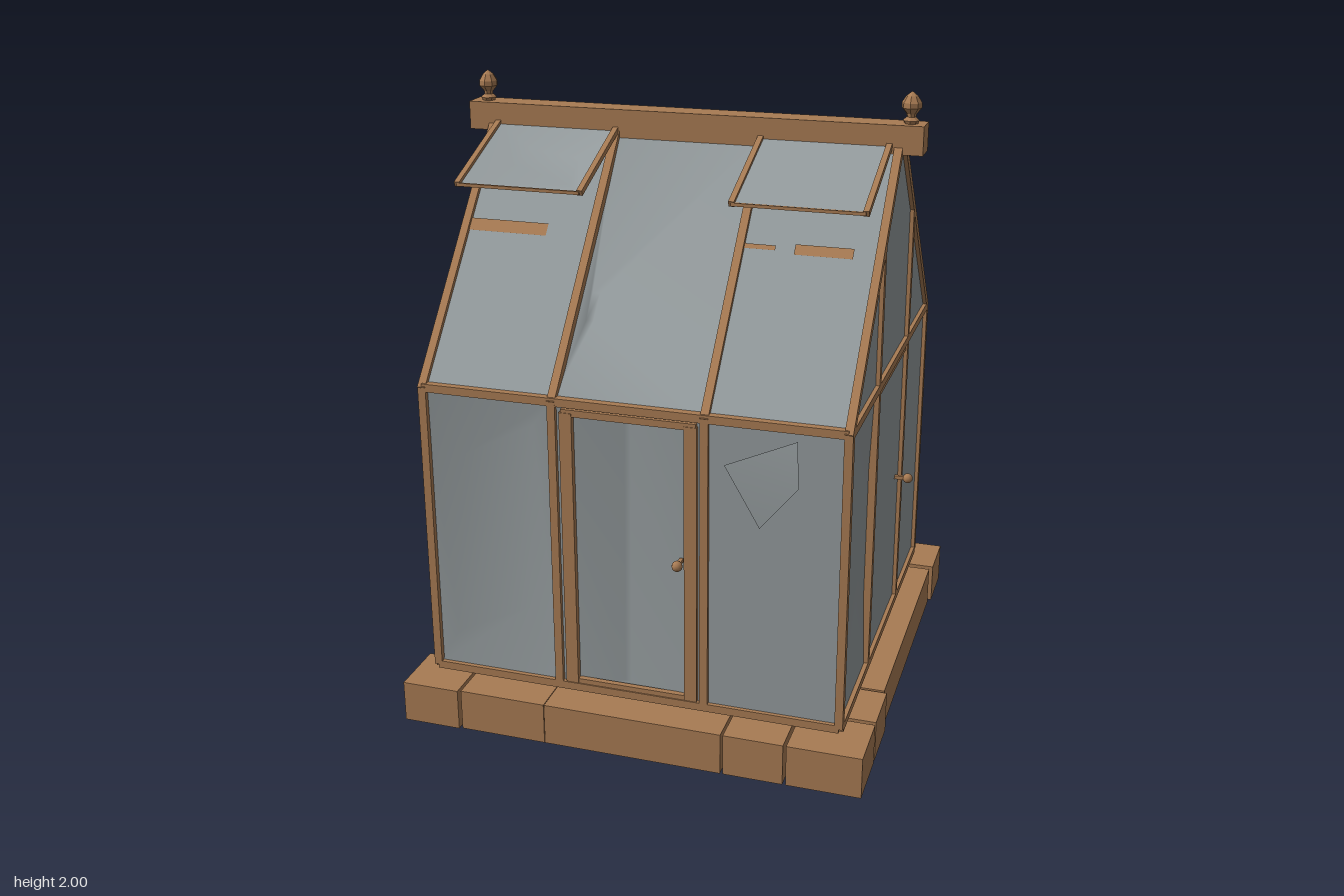
import * as THREE from 'three';

const wood = new THREE.MeshStandardMaterial({ color: 0xa87b53 });
wood.name = 'wood';
const glass = new THREE.MeshStandardMaterial({ color: 0x949b9d, side: THREE.DoubleSide });
glass.name = 'glass';

const V = (x, y, z) => new THREE.Vector3(x, y, z);
const XS = [-0.675, -0.25, 0.23, 0.66];   // front and back post lines
const ZS = [0.645, 0.25, -0.25, -0.645];  // side post lines
const SILL = 0.165, EAVE = 1.13, SLOPE = 1.14;
const roofY = z => EAVE + (0.645 - Math.abs(z)) * SLOPE;
const onRoof = (x, z, lift = 0) => V(x, roofY(z) + lift, z);

export function createModel() {
  const root = new THREE.Group();
  root.name = 'greenhouse';

  const add = (name, geo, mat, parent = root) => {
    const m = new THREE.Mesh(geo, mat);
    m.name = name;
    parent.add(m);
    return m;
  };
  const group = name => {
    const g = new THREE.Group();
    g.name = name;
    root.add(g);
    return g;
  };
  // Timber between two points
  const beam = (name, a, b, w = 0.026, d = w, parent = root) => {
    const m = add(name, new THREE.BoxGeometry(w, d, a.distanceTo(b)), wood, parent);
    m.position.copy(a).add(b).multiplyScalar(0.5);
    m.lookAt(b);
    return m;
  };
  // Glass sheet with corners anticlockwise from outside; optional dented inner quad in u, v
  const pane = (name, c, dent, depth = 0.02, parent = root) => {
    const n = c[1].clone().sub(c[0]).cross(c[2].clone().sub(c[0])).normalize();
    const pts = [...c];
    const idx = [];
    if (dent) {
      for (const [u, v] of dent) {
        const low = c[0].clone().lerp(c[1], u), high = c[3].clone().lerp(c[2], u);
        pts.push(low.lerp(high, v).addScaledVector(n, -depth));
      }
      for (let i = 0; i < 4; i++) {
        const j = (i + 1) % 4;
        idx.push(i, j, 4 + j, i, 4 + j, 4 + i);
      }
      idx.push(4, 5, 6, 4, 6, 7);
    } else {
      for (let i = 1; i < c.length - 1; i++) idx.push(0, i, i + 1);
    }
    const g = new THREE.BufferGeometry().setFromPoints(pts);
    g.setIndex(idx);
    g.computeVertexNormals();
    return add(name, g, glass, parent);
  };

  // Foundation blocks: [x0, x1, z0, z1]
  const foundation = group('foundation');
  const blocks = [
    [-0.755, -0.565, 0.56, 0.755], [-0.555, -0.27, 0.595, 0.75], [-0.268, 0.312, 0.595, 0.75],
    [0.32, 0.51, 0.595, 0.75], [0.52, 0.755, 0.555, 0.75],
    [-0.755, -0.52, -0.755, -0.57], [-0.508, -0.345, -0.75, -0.59], [-0.34, 0.54, -0.755, -0.595],
    [0.558, 0.755, -0.755, -0.57],
    [-0.75, -0.6, -0.545, -0.37], [-0.745, -0.6, -0.36, 0.54],
    [0.595, 0.745, -0.547, 0.35], [0.6, 0.755, 0.36, 0.54]
  ];
  for (const [x0, x1, z0, z1] of blocks) {
    const b = add('foundationBlock', new THREE.BoxGeometry(x1 - x0, 0.137, z1 - z0), wood, foundation);
    b.position.set((x0 + x1) / 2, 0.0685, (z0 + z1) / 2);
  }

  // Front and back walls: posts, rails, side panes and a door
  const knob = (x, y, z, out, parent) => {
    beam('knobStem', V(x, y, z), V(x, y, z).addScaledVector(out, 0.04), 0.012, 0.012, parent);
    const k = add('knob', new THREE.SphereGeometry(0.017, 10, 8), wood, parent);
    k.position.set(x, y, z).addScaledVector(out, 0.045);
  };
  for (const s of [1, -1]) {
    const wall = group(s > 0 ? 'frontWall' : 'backWall');
    const z = 0.645 * s;
    for (const x of XS) beam('post', V(x, SILL, z), V(x, EAVE, z), 0.026, 0.026, wall);
    for (const y of [SILL, EAVE]) beam('rail', V(XS[0], y, z), V(XS[3], y, z), 0.026, 0.026, wall);
    const dents = s > 0
      ? [[[0.15, 0.12], [0.75, 0.25], [0.82, 0.9], [0.27, 0.77]], [[0.44, 0.03], [0.48, 0.03], [0.5, 0.97], [0.46, 0.97]], null]
      : [null, null, [[0.2, 0.25], [0.7, 0.3], [0.8, 0.85], [0.35, 0.75]]];
    for (let i = 0; i < 3; i++) {
      const a = s > 0 ? XS[i] : XS[i + 1], b = s > 0 ? XS[i + 1] : XS[i];
      pane(i === 1 ? 'doorGlass' : 'wallGlass',
        [V(a, SILL, z), V(b, SILL, z), V(b, EAVE, z), V(a, EAVE, z)], dents[i], 0.025, wall);
    }
    for (const x of [-0.205, 0.188]) beam('doorStile', V(x, 0.18, z), V(x, 1.1, z), 0.04, 0.026, wall);
    beam('doorRail', V(-0.22, 1.1, z), V(0.205, 1.1, z), 0.022, 0.022, wall);
    beam('doorRail', V(-0.22, 0.185, z), V(0.205, 0.185, z), 0.018, 0.018, wall);
    knob(0.157 * s, 0.66, z, V(0, 0, s), wall);
  }

  // Shard of torn glass, standing out a little from the front right pane
  pane('glassShard', [V(0.29, 0.99, 0.65), V(0.4, 0.8, 0.65), V(0.52, 0.95, 0.665), V(0.51, 1.09, 0.65)]);

  // Side walls with gables
  for (const s of [1, -1]) {
    const wall = group(s > 0 ? 'leftWall' : 'rightWall');
    const x = s > 0 ? XS[3] : XS[0];
    for (const z of ZS) {
      beam('post', V(x, SILL, z), V(x, roofY(z), z), 0.026, 0.026, wall);
    }
    for (const y of [SILL, EAVE]) beam('rail', V(x, y, ZS[0]), V(x, y, ZS[3]), 0.026, 0.026, wall);
    beam('doorRail', V(x, 1.103, 0.24), V(x, 1.103, -0.24), 0.016, 0.016, wall);
    const first = [[0.2, 0.25], [0.72, 0.25], [0.94, 0.5], [0.45, 0.95]];
    const mirrored = first.map(([u, v]) => [1 - u, v]);
    const dent = s > 0 ? first : [mirrored[1], mirrored[0], mirrored[3], mirrored[2]];
    for (let i = 0; i < 3; i++) {
      const a = s > 0 ? ZS[i] : ZS[i + 1], b = s > 0 ? ZS[i + 1] : ZS[i];
      pane('wallGlass', [V(x, SILL, a), V(x, SILL, b), V(x, EAVE, b), V(x, EAVE, a)],
        i === 0 ? dent : null, 0.02, wall);
    }
    pane('gableGlass', [V(x, EAVE, 0.645 * s), V(x, EAVE, -0.645 * s), V(x, roofY(0), 0)], null, 0, wall);
    knob(x, 0.657, -0.175 * s, V(s, 0, 0), wall);
  }

  // Roof rafters and glazing
  const roof = group('roof');
  for (const s of [1, -1]) {
    for (const x of XS) beam('rafter', onRoof(x, 0.65 * s), onRoof(x, 0.02 * s), 0.026, 0.026, roof);
  }
  const slab = (x0, x1, z0, z1, dent, depth) => {
    const f = z0 > 0 ? [x0, x1] : [x1, x0];
    pane('roofGlass', [onRoof(f[0], z0), onRoof(f[1], z0), onRoof(f[1], z1), onRoof(f[0], z1)], dent, depth, roof);
  };
  slab(XS[0], XS[1], 0.645, 0.02);
  slab(XS[1], XS[2], 0.645, 0.02, [[0.07, 0.3], [0.12, 0.3], [0.12, 0.4], [0.07, 0.4]], 0.035);
  slab(XS[2], XS[3], 0.645, 0.02);
  slab(XS[0], XS[1], -0.645, -0.27, [[0.15, 0.2], [0.3, 0.5], [0.3, 0.85], [0.1, 0.8]], 0.03);
  slab(XS[0], XS[1], -0.27, -0.02, [[0.15, 0.25], [0.8, 0.15], [0.75, 0.6], [0.3, 0.7]], 0.03);
  slab(XS[2], XS[3], -0.645, -0.27);
  slab(XS[2], XS[3], -0.27, -0.02);
  // Broken remnant below the ridge
  pane('brokenGlass', [onRoof(XS[2], -0.205), onRoof(XS[1], -0.14), onRoof(XS[1], -0.02), onRoof(XS[2], -0.02)], null, 0, roof);
  for (const [a, b] of [[XS[0], XS[1]], [XS[2], XS[3]]]) {
    beam('purlin', onRoof(a, -0.27), onRoof(b, -0.27), 0.024, 0.024, roof);
    beam('purlin', onRoof(a, 0.277, -0.028), onRoof(b, 0.277, -0.028), 0.024, 0.024, roof);
  }
  // Parts of the front purlin that show through the glass
  for (const [a, b, h] of [[-0.665, -0.4, 0.032], [0.24, 0.34, 0.012], [0.4, 0.58, 0.026]]) {
    const z0 = 0.277 + h / 2 / SLOPE, z1 = 0.277 - h / 2 / SLOPE;
    const strip = pane('exposedPurlin', [onRoof(a, z0, 0.006), onRoof(b, z0, 0.006), onRoof(b, z1, 0.006), onRoof(a, z1, 0.006)], null, 0, roof);
    strip.material = wood;
  }

  // Open roof vents
  for (const [a, b, broken] of [[-0.655, -0.25, true], [0.228, 0.632, false]]) {
    const vent = group('roofVent');
    const top = x => V(x, 1.84, 0.035), low = x => V(x, 1.705, 0.375);
    for (const x of [a, b]) beam('ventSide', top(x), low(x), 0.018, 0.018, vent);
    beam('ventEdge', low(a), low(b), 0.01, 0.01, vent);
    pane('ventGlass', [low(a), low(b), top(b), top(a)],
      broken ? [[0.3, 0.45], [0.85, 0.2], [0.8, 0.6], [0.35, 0.7]] : null, 0.025, vent);
  }

  // Ridge beam with finials
  const ridge = add('ridgeBeam', new THREE.BoxGeometry(1.49, 0.09, 0.09), wood);
  ridge.position.set(-0.01, 1.857, 0);
  const profile = [[0.02, 0], [0.026, 0.012], [0.014, 0.022], [0.016, 0.032], [0.031, 0.05],
    [0.031, 0.066], [0.018, 0.086], [0, 0.1]].map(p => new THREE.Vector2(...p));
  for (const x of [-0.705, 0.688]) {
    const geo = new THREE.LatheGeometry(profile, 8).toNonIndexed();
    geo.computeVertexNormals();
    add('finial', geo, wood).position.set(x, 1.9, 0);
  }
  return root;
}
